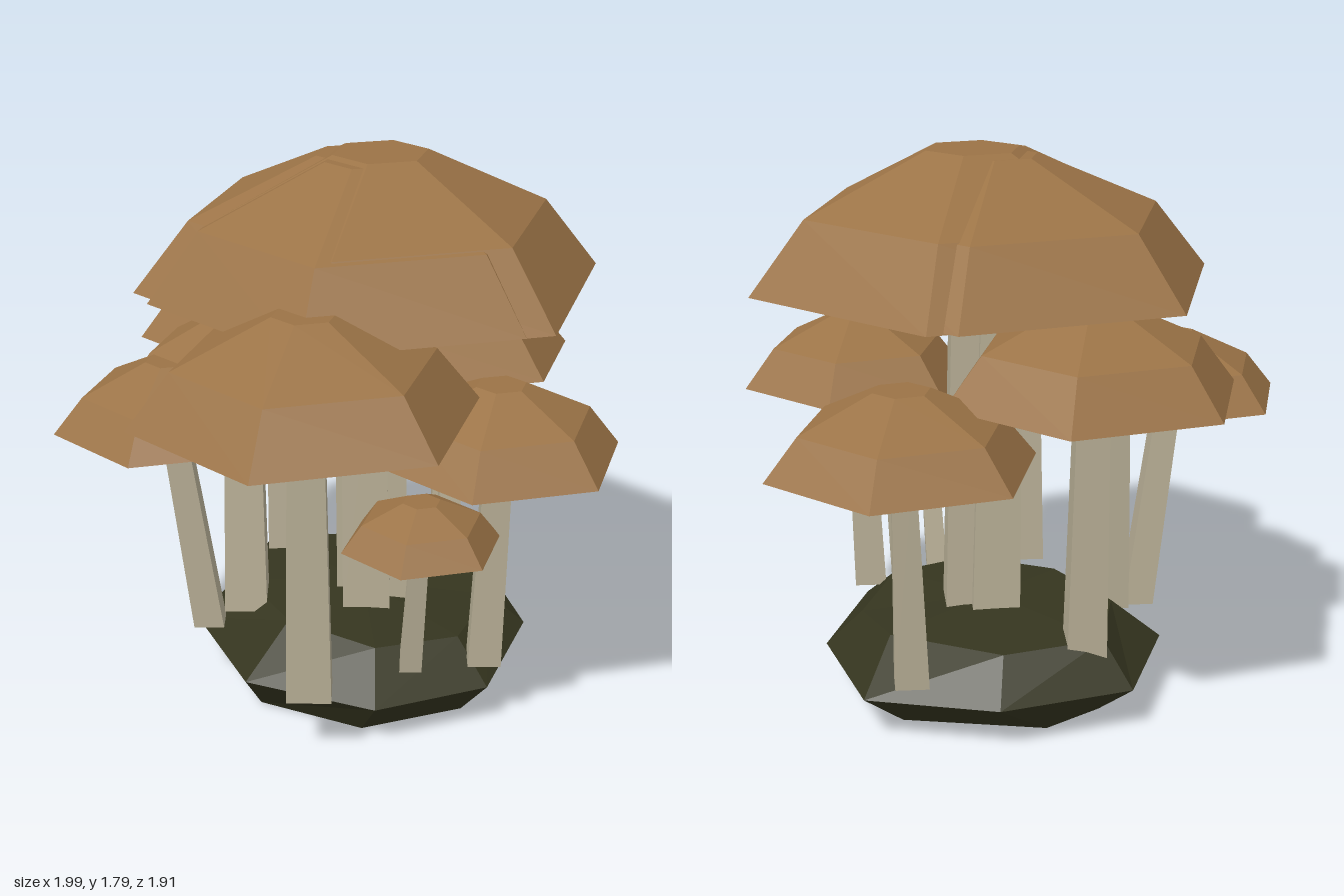
import * as THREE from 'three';

const mat = (name, color) => {
  const m = new THREE.MeshStandardMaterial({ color, flatShading: true, side: THREE.DoubleSide });
  m.name = name;
  return m;
};

// Share of the rim band's height by which the underside is recessed
const RECESS = 0.4;

// Six-sided domed cap: recessed underside, rim, shoulder and small flat crown
function makeCap([x, z, rimY, rimR, midY, midR, topY, topR], material) {
  const ceilingY = rimY + (midY - rimY) * RECESS;
  const ceilingR = rimR + (midR - rimR) * RECESS - 0.015;
  const profile = [[0, ceilingY], [ceilingR, ceilingY], [rimR, rimY], [midR, midY], [topR, topY], [0, topY]]
    .map(([r, y]) => new THREE.Vector2(r, y));
  const cap = new THREE.Mesh(new THREE.LatheGeometry(profile, 6), material);
  cap.position.set(x, 0, z);
  cap.name = 'cap';
  return cap;
}

// Four-sided tapered stem, sheared so that it leans from its foot to its cap
function makeStem([x0, z0, y0, r0], [x1, z1, y1, r1], material) {
  const h = y1 - y0;
  const geo = new THREE.CylinderGeometry(r1, r0, h, 4);
  const p = geo.attributes.position;
  for (let i = 0; i < p.count; i++) {
    const t = p.getY(i) / h + 0.5;
    p.setXYZ(i, p.getX(i) + x0 + (x1 - x0) * t, y0 + h * t, p.getZ(i) + z0 + (z1 - z0) * t);
  }
  geo.computeVertexNormals();
  const stem = new THREE.Mesh(geo, material);
  stem.name = 'stem';
  return stem;
}

// Faceted mound, open underneath, from three irregular rings and a peak
function makeMound(material) {
  const low = [[0.47, -0.03], [0.25, 0.2], [0.02, 0.44], [-0.3, 0.3], [-0.42, -0.05], [-0.24, -0.38], [0, -0.46], [0.22, -0.42]];
  const mid = [[0.66, -0.04], [0.42, 0.36], [0, 0.57], [-0.36, 0.42], [-0.53, 0], [-0.35, -0.45], [0.06, -0.64], [0.45, -0.42]];
  const top = [[0.45, 0.04], [0.33, 0.28], [0.02, 0.42], [-0.24, 0.3], [-0.32, -0.02], [-0.22, -0.34], [0.06, -0.52], [0.34, -0.34]];
  const topY = [0.28, 0.26, 0.27, 0.28, 0.29, 0.29, 0.29, 0.28];
  const n = mid.length, pos = [], index = [];
  low.forEach(([x, z]) => pos.push(x, 0.01, z));
  mid.forEach(([x, z]) => pos.push(x, 0.15, z));
  top.forEach(([x, z], i) => pos.push(x, topY[i], z));
  pos.push(0.03, 0.31, -0.03);
  for (let i = 0; i < n; i++) {
    const j = (i + 1) % n;
    for (const a of [0, n]) {
      index.push(a + i, a + n + i, a + j, a + j, a + n + i, a + n + j);
    }
    index.push(2 * n + i, 3 * n, 2 * n + j);
  }
  const geo = new THREE.BufferGeometry();
  geo.setAttribute('position', new THREE.Float32BufferAttribute(pos, 3));
  geo.setIndex(index);
  geo.computeVertexNormals();
  const mound = new THREE.Mesh(geo, material);
  mound.name = 'mound';
  return mound;
}

export function createModel() {
  const group = new THREE.Group();
  const capMat = mat('cap brown', 0x9b7346);
  const stemMat = mat('stem grey beige', 0xb8af96);
  const moundMat = mat('moss dark green', 0x35351f);
  group.add(makeMound(moundMat));

  // cap: x, z, rim y, rim r, shoulder y, shoulder r, top y, top r
  // foot: x, z, y, r; then the stem's upper radius
  const mushrooms = [
    ['mainMushroom', [0.06, 0.02, 1.38, 0.73, 1.61, 0.55, 1.8, 0.155], [0.07, 0.03, 0.22, 0.12], 0.1],
    ['mainMushroomBack', [0.03, -0.07, 1.385, 0.71, 1.605, 0.53, 1.785, 0.12], [0.05, -0.06, 0.27, 0.11], 0.09],
    ['mainMushroomLeft', [-0.02, 0.02, 1.38, 0.685, 1.6, 0.52, 1.79, 0.12], [-0.03, 0.05, 0.27, 0.11], 0.095],
    ['frontRightMushroom', [-0.53, 0.3, 1.17, 0.535, 1.34, 0.4, 1.48, 0.1], [-0.51, 0.28, 0.22, 0.1], 0.075],
    ['backMushroom', [0.085, -0.48, 1.1, 0.48, 1.255, 0.36, 1.38, 0.095], [0.08, -0.46, 0.22, 0.09], 0.07],
    ['leftMushroom', [0.63, -0.19, 0.94, 0.425, 1.07, 0.32, 1.18, 0.09], [0.58, -0.17, 0.22, 0.075], 0.05],
    ['frontMushroom', [0.04, 0.56, 0.95, 0.39, 1.08, 0.29, 1.18, 0.08], [0.035, 0.52, 0.22, 0.075], 0.06],
    ['backRightMushroom', [-0.51, -0.355, 0.945, 0.375, 1.06, 0.28, 1.16, 0.075], [-0.42, -0.3, 0.22, 0.07], 0.055],
    ['innerBackMushroom', [-0.25, -0.3, 1.03, 0.4, 1.16, 0.3, 1.27, 0.085], [-0.28, -0.27, 0.25, 0.1], 0.08],
    ['smallLeftMushroom', [0.46, 0, 0.815, 0.3, 0.9, 0.22, 0.97, 0.06], [0.4, 0, 0.24, 0.06], 0.045],
    ['smallFrontMushroom', [-0.2, 0.46, 0.69, 0.255, 0.775, 0.19, 0.835, 0.06], [-0.17, 0.39, 0.22, 0.05], 0.04],
  ];
  for (const [name, cap, foot, stemR] of mushrooms) {
    const [x, z, rimY, , midY] = cap;
    const mushroom = new THREE.Group();
    mushroom.name = name;
    mushroom.add(makeCap(cap, capMat));
    mushroom.add(makeStem(foot, [x, z, rimY + (midY - rimY) * RECESS + 0.01, stemR], stemMat));
    group.add(mushroom);
  }
  return group;
}
